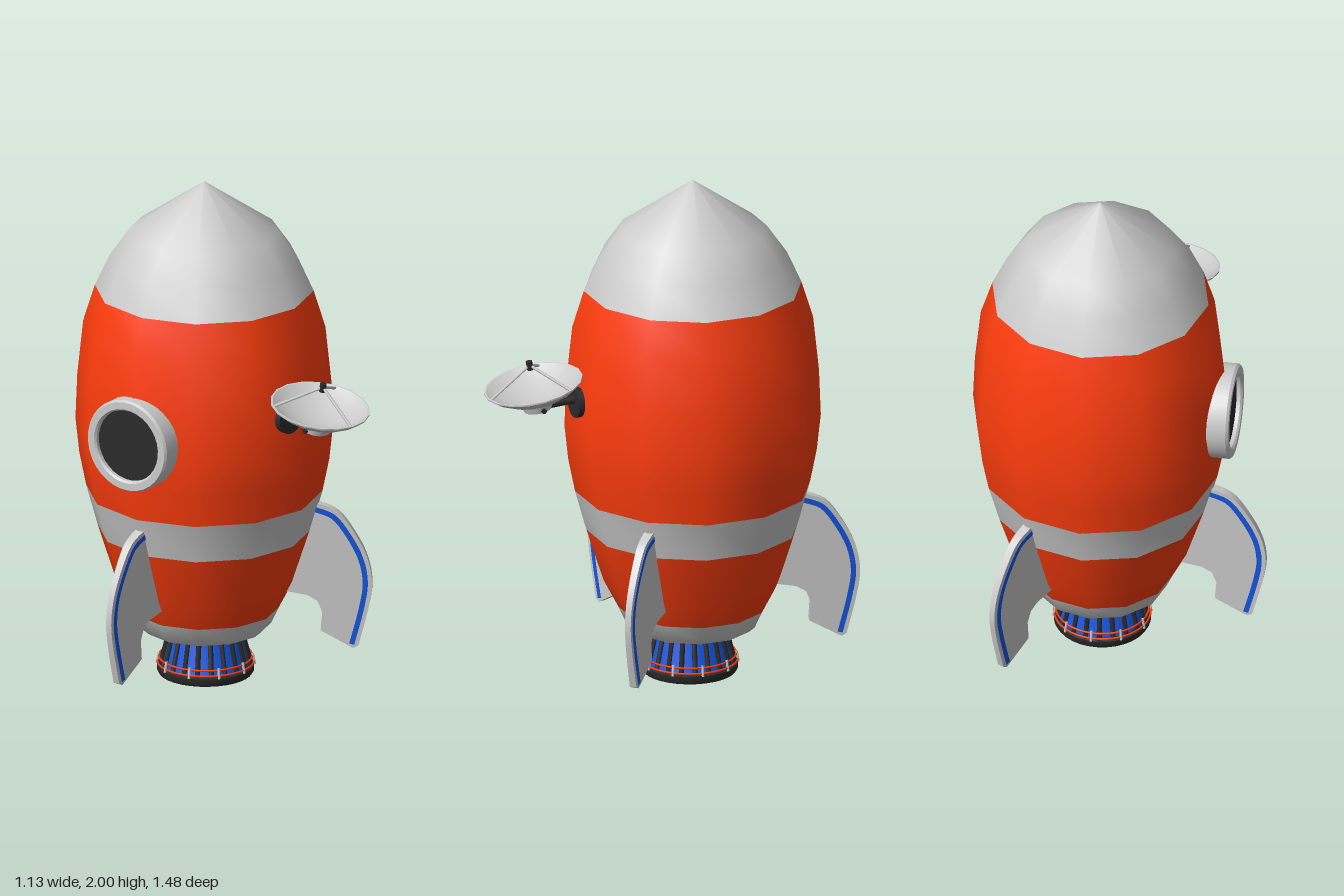
import * as THREE from 'three';
import { toCreasedNormals, mergeGeometries } from 'three/addons/utils/BufferGeometryUtils.js';

const mat = (color) => new THREE.MeshStandardMaterial({ color });
const grey = mat(0xcccccc), red = mat(0xff3d0d), blue = mat(0x1556e0), dark = mat(0x2a2a2a);
const CZ = -0.09; // hull axis

function add(parent, name, geometry, material, x = 0, y = 0, z = 0) {
  const mesh = new THREE.Mesh(geometry, material);
  mesh.name = name;
  mesh.position.set(x, y, z);
  parent.add(mesh);
  return mesh;
}

function lathe(points, sides, crease = 0.65) {
  const g = new THREE.LatheGeometry(points.map(([r, y]) => new THREE.Vector2(r, y)), sides);
  return toCreasedNormals(g, crease);
}

// Straight rod between two points
function rod(a, b, radius, sides = 8) {
  const p = new THREE.Vector3(...a), q = new THREE.Vector3(...b);
  const g = new THREE.CylinderGeometry(radius, radius, p.distanceTo(q), sides);
  const dir = q.clone().sub(p).normalize();
  g.applyQuaternion(new THREE.Quaternion().setFromUnitVectors(new THREE.Vector3(0, 1, 0), dir));
  const mid = p.add(q).multiplyScalar(0.5);
  return g.translate(mid.x, mid.y, mid.z);
}

// Twelve-sided hull in coloured bands
function buildHull() {
  const hull = new THREE.Group();
  hull.name = 'hull';
  const bands = [
    ['tailBand', grey, [[0, 0.185], [0.235, 0.185], [0.258, 0.205], [0.288, 0.27]]],
    ['lowerHull', red, [[0.288, 0.27], [0.345, 0.38], [0.412, 0.59]]],
    ['middleBand', grey, [[0.412, 0.59], [0.456, 0.75]]],
    ['upperHull', red, [[0.456, 0.75], [0.482, 0.88], [0.497, 1.02], [0.49, 1.2], [0.467, 1.42], [0.422, 1.565]]],
    ['noseCone', grey, [[0.422, 1.565], [0.365, 1.69], [0.288, 1.8], [0, 2]]],
  ];
  for (const [name, material, points] of bands) add(hull, name, lathe(points, 12), material);
  return hull;
}

// Swept fin with a blue stripe following its outer edge
function buildFin() {
  const fin = new THREE.Group();
  fin.name = 'fin';
  const V = (x, y) => new THREE.Vector2(x, y);
  const edge = new THREE.SplineCurve([V(0.43, 0.705), V(0.515, 0.67), V(0.58, 0.586), V(0.63, 0.485),
    V(0.648, 0.38), V(0.632, 0.27), V(0.595, 0.125)]);
  const inset = (d) => Array.from({ length: 25 }, (_, i) => {
    const p = edge.getPoint(i / 24), t = edge.getTangent(i / 24);
    return V(p.x + t.y * d, p.y - t.x * d);
  });
  const plate = (outline, thickness) => {
    const g = new THREE.ExtrudeGeometry(new THREE.Shape(outline), { depth: thickness, bevelEnabled: false });
    g.translate(0, 0, -thickness / 2);
    const p = g.attributes.position;
    // thinner toward the outer edge
    for (let i = 0; i < p.count; i++) p.setZ(i, p.getZ(i) * (1.25 - 2 * (p.getX(i) - 0.4)));
    return toCreasedNormals(g, 0.5);
  };
  const notch = [V(0.575, 0.115), V(0.45, 0.185), V(0.456, 0.26), V(0.438, 0.305), V(0.4, 0.328),
    V(0.334, 0.34), V(0.27, 0.35), V(0.38, 0.68)];
  add(fin, 'finPlate', plate([...inset(0), ...notch], 0.032), grey);
  add(fin, 'finStripe', plate([...inset(0.016), ...inset(0.036).reverse()], 0.036), blue);
  return fin;
}

// Round window with raised frame, local +y pointing out of the hull
function buildPorthole() {
  const porthole = new THREE.Group();
  porthole.name = 'porthole';
  const frame = [[0.185, 0.4], [0.185, 0.52], [0.178, 0.53], [0.15, 0.53], [0.143, 0.522], [0.143, 0.45]];
  add(porthole, 'windowFrame', lathe(frame, 32, 0.5), grey);
  add(porthole, 'windowPane', new THREE.CylinderGeometry(0.146, 0.146, 0.03, 32), dark, 0, 0.492, 0);
  return porthole;
}

// Dish antenna, local +z pointing out of the hull
function buildAntenna() {
  const antenna = new THREE.Group();
  antenna.name = 'antenna';
  const base = new THREE.CylinderGeometry(0.058, 0.058, 0.05, 20).rotateX(Math.PI / 2);
  add(antenna, 'wallMount', base, dark, 0, 1.16, 0.475);
  add(antenna, 'arm', rod([0, 1.175, 0.48], [0, 1.165, 0.67], 0.016), dark);
  const head = new THREE.Group();
  head.name = 'dishHead';
  head.position.set(0, 1.255, 0.668);
  head.rotation.x = 0.19;
  antenna.add(head);
  const bowl = [[0, -0.07], [0.06, -0.064], [0.12, -0.045], [0.165, -0.02], [0.193, 0.002], [0.193, 0.008],
    [0.186, 0.008], [0.16, -0.012], [0.118, -0.034], [0.06, -0.053], [0, -0.058]];
  add(head, 'dish', lathe(bowl, 18), grey);
  add(head, 'dishHub', new THREE.CylinderGeometry(0.062, 0.055, 0.035, 18), grey, 0, -0.08, 0);
  add(head, 'hubBolt', rod([-0.068, -0.088, 0], [0.068, -0.088, 0], 0.01), dark);
  for (let i = 0; i < 3; i++) {
    const a = (i * 2 * Math.PI) / 3;
    add(head, 'strut', rod([0.183 * Math.sin(a), 0, 0.183 * Math.cos(a)], [0, 0.088, 0], 0.006, 6), grey);
  }
  add(head, 'feed', new THREE.CylinderGeometry(0.013, 0.013, 0.035, 10), dark, 0, 0.087, 0);
  return antenna;
}

// Ribbed engine nozzle with clamp rings
function buildEngine() {
  const engine = new THREE.Group();
  engine.name = 'engine';
  add(engine, 'nozzle', lathe([[0.13, 0.2], [0.172, 0.03]].reverse(), 32), blue);
  add(engine, 'collar', new THREE.CylinderGeometry(0.143, 0.146, 0.02, 32), dark, 0, 0.18, 0);
  const rim = [[0.158, 0.008], [0.164, 0], [0.18, 0.003], [0.187, 0.015], [0.187, 0.035], [0.17, 0.042]];
  add(engine, 'nozzleRim', lathe(rim, 32), dark);
  add(engine, 'exhaustPlate', new THREE.CylinderGeometry(0.16, 0.16, 0.02, 32), blue, 0, 0.022, 0);
  add(engine, 'exhaustCore', new THREE.CylinderGeometry(0.085, 0.085, 0.016, 32), dark, 0, 0.016, 0);
  add(engine, 'exhaustRing', new THREE.TorusGeometry(0.06, 0.006, 6, 32).rotateX(Math.PI / 2), dark, 0, 0.009, 0);
  const ribs = [], clips = [];
  for (let i = 0; i < 20; i++) {
    const a = (i / 20) * Math.PI * 2;
    ribs.push(rod([0.134, 0.19, 0], [0.176, 0.03, 0], 0.01, 6).rotateY(a));
    if (i % 2 === 0) clips.push(rod([0.181, 0.078, 0], [0.189, 0.035, 0], 0.005, 6).rotateY(a + 0.15));
  }
  add(engine, 'nozzleRibs', mergeGeometries(ribs), dark);
  add(engine, 'clampClips', mergeGeometries(clips), grey);
  for (const [r, y] of [[0.18, 0.068], [0.186, 0.047]]) {
    add(engine, 'clampRing', new THREE.TorusGeometry(r, 0.004, 6, 40).rotateX(Math.PI / 2), red, 0, y, 0);
  }
  return engine;
}

export function createModel() {
  const model = new THREE.Group();
  model.name = 'rocket';
  const rocket = new THREE.Group();
  rocket.name = 'rocketBody';
  rocket.position.z = CZ;
  model.add(rocket);
  rocket.add(buildHull());

  for (let i = 0; i < 3; i++) {
    const fin = buildFin();
    fin.rotation.y = Math.PI / 2 + (i * 2 * Math.PI) / 3;
    rocket.add(fin);
  }

  const porthole = buildPorthole();
  porthole.position.y = 1.072;
  porthole.quaternion.setFromUnitVectors(new THREE.Vector3(0, 1, 0),
    new THREE.Vector3(-Math.cos(Math.PI / 6), 0, Math.sin(Math.PI / 6)));
  rocket.add(porthole);

  const antenna = buildAntenna();
  antenna.rotation.y = 0.285;
  rocket.add(antenna);

  const engine = buildEngine();
  engine.position.z = 0.012;
  rocket.add(engine);
  return model;
}
